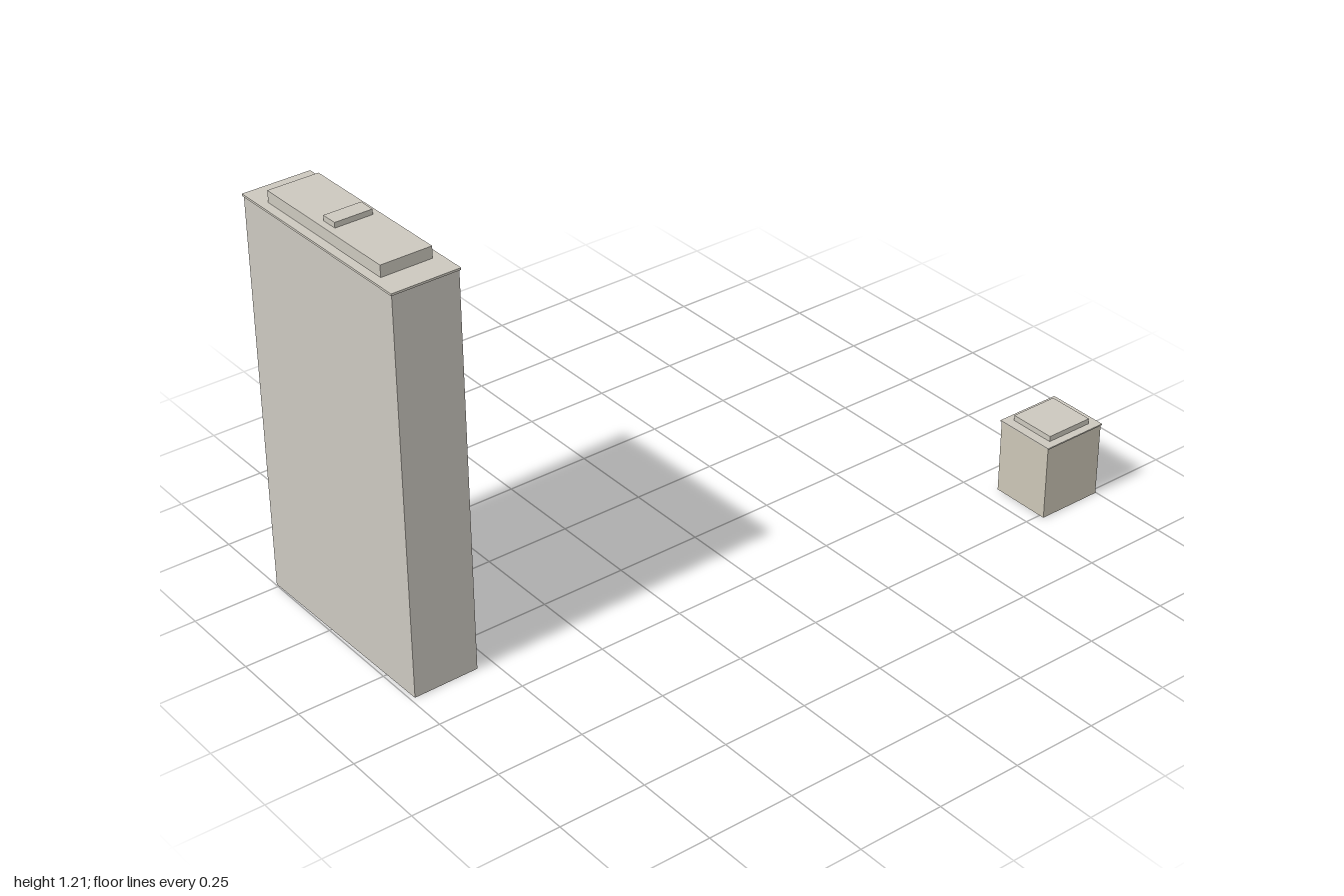
import * as THREE from 'three';

const material = (color) => new THREE.MeshStandardMaterial({ color, flatShading: true, side: THREE.DoubleSide });

function addBox(group, name, w, d, y0, y1, mat) {
  const mesh = new THREE.Mesh(new THREE.BoxGeometry(w, y1 - y0, d), mat);
  mesh.position.y = (y0 + y1) / 2;
  mesh.name = name;
  group.add(mesh);
}

// Four walls with no top or bottom, from y0 to y1
function addWalls(group, name, w, d, y0, y1, mat) {
  const geo = new THREE.CylinderGeometry(Math.SQRT1_2, Math.SQRT1_2, 1, 4, 1, true);
  geo.rotateY(Math.PI / 4);
  geo.scale(w, y1 - y0, d);
  geo.translate(0, (y0 + y1) / 2, 0);
  const mesh = new THREE.Mesh(geo, mat);
  mesh.name = name;
  group.add(mesh);
}

// Building with an open base, raised floor slab, roof rim and stepped roof blocks
function makeBuilding({ name, w, d, split, floor, roof, rim, rimThickness, tiers, mat, roofMat }) {
  const building = new THREE.Group();
  building.name = name;
  addWalls(building, 'baseWalls', w, d, 0, split, mat);
  addWalls(building, 'upperWalls', w, d, split, roof - rimThickness, mat);
  const slab = new THREE.Mesh(new THREE.PlaneGeometry(w, d).rotateX(Math.PI / 2), mat);
  slab.position.y = floor;
  slab.name = 'floorSlab';
  building.add(slab);
  addBox(building, 'roofRim', w + rim, d + rim, roof - rimThickness, roof, roofMat);
  let y = roof;
  tiers.forEach(([tw, td, top], i) => {
    addBox(building, `roofBlock${i + 1}`, tw, td, y, top, roofMat);
    y = top;
  });
  return building;
}

export function createModel() {
  const model = new THREE.Group();
  model.name = 'buildings';
  const towerMat = material(0xccc8c0);
  const roofMat = material(0xccc8be);
  const hutMat = material(0xccc6b6);

  // Tall slab tower, turned very slightly
  const tower = makeBuilding({
    name: 'tower', w: 0.191, d: 0.634, split: 0.066, floor: 0.066,
    roof: 1.157, rim: 0.006, rimThickness: 0.006,
    tiers: [[0.147, 0.482, 1.19], [0.108, 0.048, 1.205]],
    mat: towerMat, roofMat,
  });
  tower.position.set(-0.897, 0, -0.195);
  tower.rotation.y = 0.0156;
  model.add(tower);

  // Small low block
  const block = makeBuilding({
    name: 'lowBlock', w: 0.198, d: 0.18, split: 0.122, floor: 0.062,
    roof: 0.224, rim: 0.005, rimThickness: 0.004,
    tiers: [[0.146, 0.138, 0.24]],
    mat: hutMat, roofMat,
  });
  block.position.set(0.8985, 0, 0.4245);
  model.add(block);
  return model;
}
